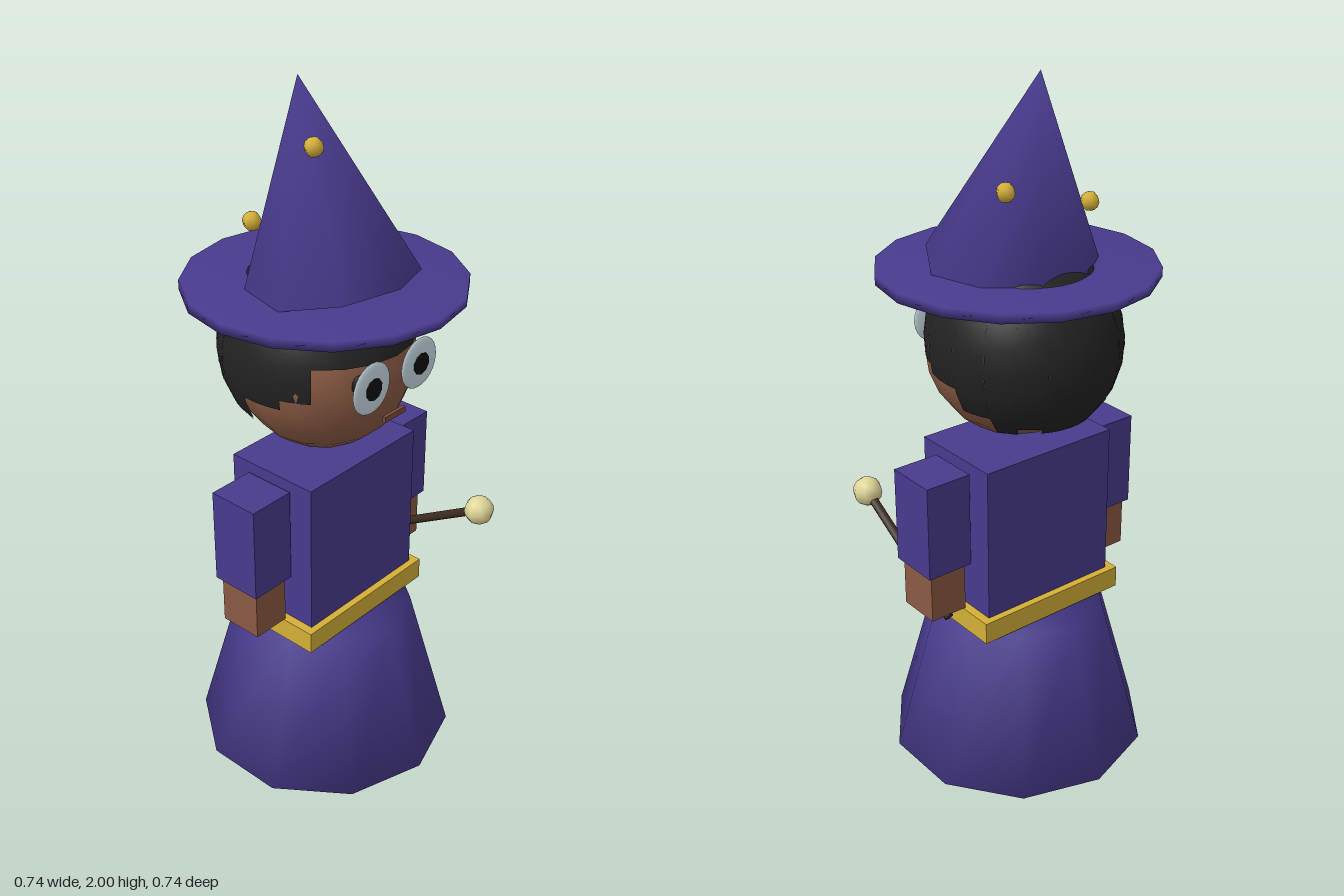
import * as THREE from 'three';
import { mergeVertices } from 'three/addons/utils/BufferGeometryUtils.js';

const mat = (name, color, side = THREE.FrontSide) => {
  const m = new THREE.MeshStandardMaterial({ color, side });
  m.name = name;
  return m;
};

// Shares normals over every edge for a soft, rounded shade
function soften(geometry) {
  geometry.deleteAttribute('uv');
  geometry.deleteAttribute('normal');
  const g = mergeVertices(geometry, 1e-4);
  g.computeVertexNormals();
  return g;
}

export function createModel() {
  const root = new THREE.Group();
  root.name = 'wizard';

  const purple = mat('robe purple', 0x483b8e);
  const skin = mat('skin brown', 0x8a5a44);
  const black = mat('hair black', 0x222222, THREE.DoubleSide);
  const gold = mat('gold', 0xd4af37);
  const shoe = mat('shoe slate', 0x2a2a3a);
  const wood = mat('wand wood', 0x3a2a1e);
  const glow = mat('orb cream', 0xe0d698);
  const eyeWhite = mat('eye pale blue', 0xcfe2ec);
  const pupilBlack = mat('pupil black', 0x111111);
  const lip = mat('lip brown', 0x7a4a3a);

  const add = (name, geometry, material, x, y, z) => {
    const m = new THREE.Mesh(geometry, material);
    m.name = name;
    m.position.set(x, y, z);
    root.add(m);
    return m;
  };
  const box = (name, w, h, d, material, x, y, z) =>
    add(name, new THREE.BoxGeometry(w, h, d), material, x, y, z);

  // Robe: flared skirt, torso and belt
  add('skirt', soften(new THREE.CylinderGeometry(0.247, 0.37, 0.445, 10)), purple, 0, 0.288, 0);
  box('torso', 0.42, 0.515, 0.28, purple, 0, 0.758, 0);
  box('belt', 0.47, 0.062, 0.32, gold, 0, 0.546, 0);

  // Paired shoes, sleeves, hands and eyes
  for (const [side, s] of [['left', 1], ['right', -1]]) {
    box(`${side}Shoe`, 0.175, 0.09, 0.27, shoe, s * 0.105, 0.045, 0.04);
    box(`${side}Sleeve`, 0.135, 0.27, 0.148, purple, s * 0.286, 0.855, 0);
    box(`${side}Hand`, 0.11, 0.17, 0.125, skin, s * 0.286, 0.665, 0);
    const eye = add(`${side}Eye`, new THREE.SphereGeometry(0.07, 20, 12), eyeWhite, s * 0.093, 1.305, 0.238);
    eye.scale.z = 0.12;
    const pupil = add(`${side}Pupil`, new THREE.CylinderGeometry(0.03, 0.03, 0.05, 10), pupilBlack, s * 0.093, 1.305, 0.223);
    pupil.rotation.x = Math.PI / 2;
  }

  // Head and mouth
  const head = add('head', new THREE.SphereGeometry(0.248, 14, 12), skin, 0, 1.285, 0);
  head.scale.z = 0.955;
  box('mouth', 0.08, 0.016, 0.01, lip, 0, 1.193, 0.236);

  // Hair shell in strips round the head: [from degrees, to degrees, lower edge y]
  const hair = new THREE.Group();
  hair.name = 'hair';
  hair.position.set(0, 1.305, -0.027);
  hair.scale.set(0.255, 0.27, 0.272);
  root.add(hair);
  const strips = [[0, 53, 1.36], [53, 71, 1.265], [71, 96, 1.235], [96, 117, 1.165],
    [117, 135, 1.11], [135, 153, 1.135], [153, 180, 1.115]];
  const rad = THREE.MathUtils.degToRad;
  for (const s of [1, -1]) {
    for (const [a, b, y] of strips) {
      // Sphere longitude 90 degrees is the front
      const start = s > 0 ? 90 + a : 90 - b;
      const lock = new THREE.Mesh(
        new THREE.SphereGeometry(1, Math.ceil((b - a) / 22), 9, rad(start), rad(b - a), 0, Math.acos((y - 1.305) / 0.27)),
        black);
      lock.name = 'hairLock';
      hair.add(lock);
    }
  }

  // Hat: flat brim and a cone leaning back
  add('hatBrim', soften(new THREE.CylinderGeometry(0.37, 0.37, 0.026, 16)), purple, 0, 1.49, 0);
  const tilt = 0.203, height = 0.516;
  const cone = add('hatCone', soften(new THREE.ConeGeometry(0.234, height, 9)), purple,
    0, 1.495 + Math.cos(tilt) * height / 2, 0.016 - Math.sin(tilt) * height / 2);
  cone.rotation.x = -tilt;

  // Gold beads on the cone
  for (const [x, y, z] of [[-0.064, 1.862, 0.022], [0.116, 1.728, -0.1], [-0.14, 1.663, -0.115]]) {
    add('hatBead', new THREE.SphereGeometry(0.025, 6, 6), gold, x, y, z);
  }

  // Wand held in the left hand, tipped with an orb
  const from = new THREE.Vector3(0.285, 0.57, -0.06);
  const to = new THREE.Vector3(0.285, 0.797, 0.322);
  const dir = to.clone().sub(from);
  const mid = from.clone().add(to).multiplyScalar(0.5);
  const wand = add('wand', new THREE.CylinderGeometry(0.013, 0.013, dir.length(), 8), wood, mid.x, mid.y, mid.z);
  wand.quaternion.setFromUnitVectors(new THREE.Vector3(0, 1, 0), dir.normalize());
  add('wandOrb', new THREE.SphereGeometry(0.042, 8, 8), glow, to.x, to.y, to.z);

  return root;
}
